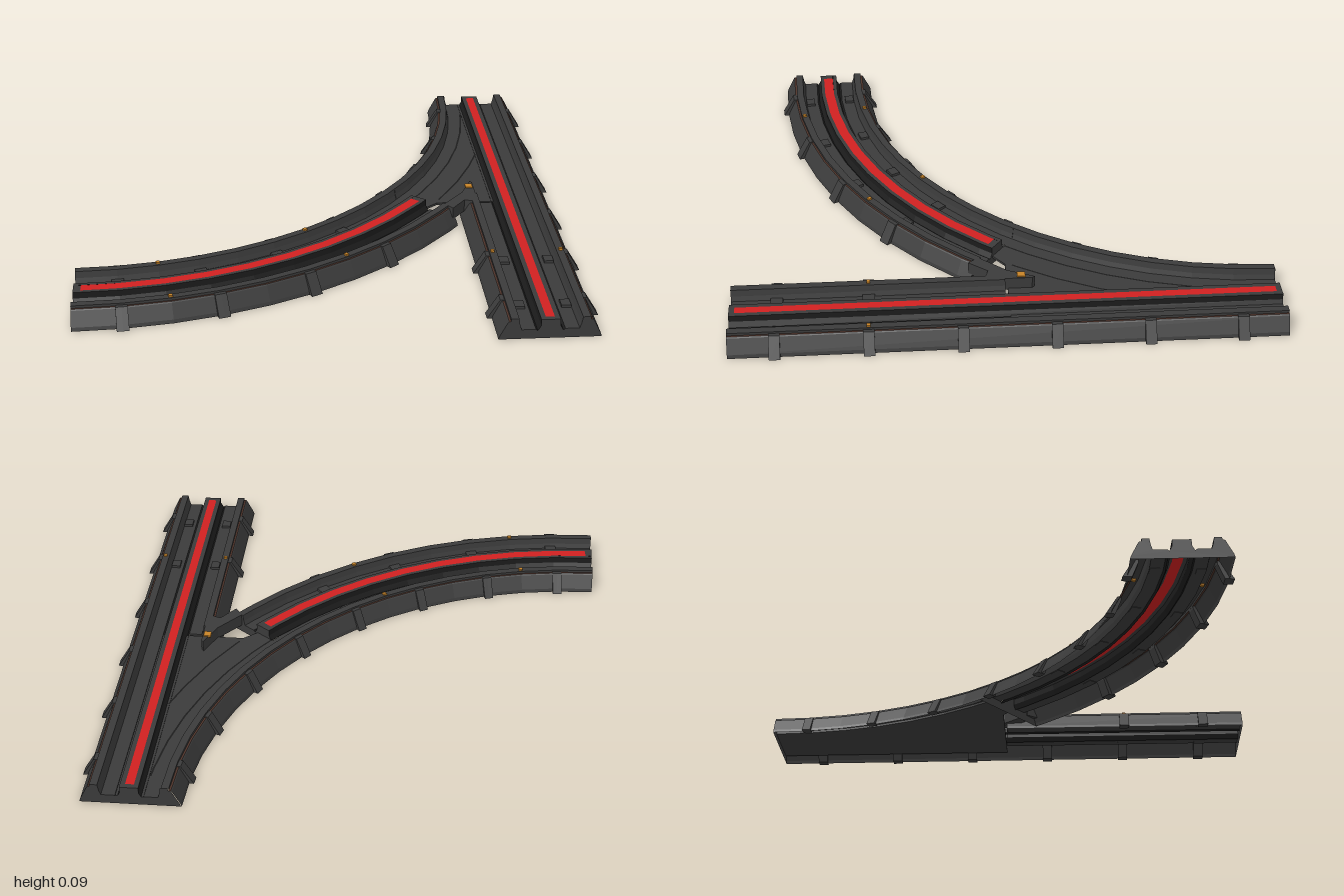
import * as THREE from 'three';

const mat = (name, color) => {
  const m = new THREE.MeshStandardMaterial({ color, side: THREE.DoubleSide, flatShading: true });
  m.name = name;
  return m;
};

// Half cross-section, split into coloured bands: [distance from centre line, height]
const BANDS = {
  slot: [[0.034, 0.074], [0.034, 0.05], [0.045, 0.03], [0.052, 0.036]],
  floor: [[0.052, 0.036], [0.102, 0.036]],
  rail: [[0.102, 0.036], [0.108, 0.055], [0.112, 0.08], [0.14, 0.08], [0.14, 0.07]],
  trim: [[0.14, 0.07], [0.147, 0.07]],
  wall: [[0.147, 0.07], [0.151, 0.066], [0.178, 0.013], [0.182, 0]],
};
const CREST = [[0.016, 0.074], [0.034, 0.074]];
const CLIP = [[0.14, 0.06], [0.14, 0.073], [0.155, 0.073], [0.2, 0], [0.165, 0], [0.14, 0.06]];
const HALF = [CREST, ...Object.values(BANDS)].flat();
const mirror = (pts) => pts.map(([u, y]) => [-u, y]).reverse();
const sided = (pts, side) => (side > 0 ? pts : mirror(pts));

// The two routes: s is z on the straight, an angle on the bend
const R = 1.667, STEP = Math.PI / 32, END = Math.PI / 2, SPLIT = 0.654;
const straight = (s, u, y) => [0.73 + u, y, s];
const bend = (s, u, y) => [-0.94 + (R + u) * Math.cos(s), y, -1 + (R + u) * Math.sin(s)];

function stations(route, a, b) {
  if (route === straight) return [a, b];
  const list = [a];
  for (let k = 1; k < 16; k++) if (k * STEP > a + 0.005 && k * STEP < b - 0.005) list.push(k * STEP);
  return [...list, b];
}

function geometry(pos) {
  const g = new THREE.BufferGeometry();
  g.setAttribute('position', new THREE.Float32BufferAttribute(pos, 3));
  g.computeVertexNormals();
  return g;
}

// Carry a profile along a route
function sweep(route, pts, a, b) {
  const st = stations(route, a, b), pos = [];
  for (let i = 0; i + 1 < st.length; i++) {
    for (let j = 0; j + 1 < pts.length; j++) {
      const A = route(st[i], ...pts[j]), B = route(st[i + 1], ...pts[j]);
      const C = route(st[i + 1], ...pts[j + 1]), D = route(st[i], ...pts[j + 1]);
      pos.push(...A, ...B, ...C, ...A, ...C, ...D);
    }
  }
  return geometry(pos);
}

// Close a profile with a flat end
function cap(route, pts, s, facing) {
  const v = pts.map(([u, y]) => new THREE.Vector2(u, y));
  const pos = [];
  for (const f of THREE.ShapeUtils.triangulateShape(v, [])) {
    const [a, b, c] = f.map((k) => v[k]);
    const ccw = (b.x - a.x) * (c.y - a.y) - (b.y - a.y) * (c.x - a.x) > 0;
    const tri = ccw === facing > 0 ? [a, b, c] : [a, c, b];
    tri.forEach((p) => pos.push(...route(s, p.x, p.y)));
  }
  return geometry(pos);
}

export function createModel() {
  const group = new THREE.Group();
  const grey = mat('charcoal', 0x3b3b3b);
  const black = mat('slotBlack', 0x1c1c1c);
  const red = mat('stripeRed', 0xd02020);
  const brown = mat('trimBrown', 0x50352b);
  const orange = mat('lampOrange', 0xc88428);
  const bandMat = { slot: black, floor: grey, rail: grey, trim: brown, wall: grey };
  const add = (name, geo, m) => {
    const mesh = new THREE.Mesh(geo, m);
    mesh.name = name;
    group.add(mesh);
    return mesh;
  };
  const bands = (prefix, route, side, names, a, b) => names.forEach((n) =>
    add(prefix + n, sweep(route, sided(BANDS[n], side), a, b), bandMat[n]));
  const ridge = (prefix, route, a, b, inset, w) => {
    const mid = [[-w, 0.074], [w, 0.074]];
    add(prefix + 'Stripe', sweep(route, mid, a + inset, b - inset), red);
    add(prefix + 'StripeStart', sweep(route, mid, a, a + inset), grey);
    add(prefix + 'StripeEnd', sweep(route, mid, b - inset, b), grey);
    for (const side of [-1, 1]) {
      add(prefix + 'Ridge', sweep(route, sided([[w, 0.074], CREST[1]], side), a, b), grey);
    }
  };
  const box = (name, route, s, u, y, size, m) => {
    const mesh = add(name, new THREE.BoxGeometry(...size), m);
    mesh.position.set(...route(s, u, y));
    if (route === bend) mesh.rotation.y = -s;
  };
  const clip = (route, side, s) => {
    const h = route === bend ? 0.02 / R : 0.02, pts = sided(CLIP, side);
    add('clip', sweep(route, pts, s - h, s + h), grey);
    add('clipEnd', cap(route, pts.slice(1), s - h, -1), grey);
    add('clipEnd', cap(route, pts.slice(1), s + h, 1), grey);
  };
  const all = Object.keys(BANDS), outer = all.slice(1);

  // Straight track
  ridge('straight', straight, -1, 1, 0.02, 0.016);
  bands('straightRight', straight, 1, all, -1, 1);
  bands('straightLeft', straight, -1, ['slot'], -1, 1);
  bands('straightLeft', straight, -1, outer, 0, 1);

  // Curved track: inner rail runs through, the rest stops at the junction
  ridge('bend', bend, SPLIT, END, 0.016, 0.019);
  bands('bendInner', bend, -1, outer, 0, END);
  bands('bendInner', bend, -1, ['slot'], SPLIT, END);
  bands('bendOuter', bend, 1, all, SPLIT, END);

  // End faces
  const full = [...mirror(HALF), ...HALF];
  add('straightFrontEnd', cap(straight, full, 1, 1), grey);
  add('straightBackEnd', cap(straight, full, -1, -1), grey);
  add('bendEnd', cap(bend, full, END, 1), grey);
  add('bendInnerEnd', cap(bend, full, SPLIT, -1), grey);
  const leftHalf = [...mirror(outer.flatMap((n) => BANDS[n])), [-0.052, 0]];
  add('straightLeftEnd', cap(straight, leftHalf, 0, -1), grey);

  // Flat junction plate and its guide lines
  const flat = (pts, y, depth) => {
    const shape = new THREE.Shape(pts.map(([x, z]) => new THREE.Vector2(x, -z)));
    const g = new THREE.ExtrudeGeometry(shape, { depth, bevelEnabled: false });
    return g.rotateX(-Math.PI / 2).translate(0, y, 0);
  };
  const xz = (s, u) => { const p = bend(s, u, 0); return [p[0], p[2]]; };
  const edge = stations(bend, 0, SPLIT).map((s) => xz(s, -0.1));
  add('junctionPlate', flat([...edge, xz(SPLIT, 0.03), [0.46, -0.01], [0.88, -0.01], [0.88, -1]], 0.026, 0.009), grey);
  add('guideLine', sweep(bend, [[-0.052, 0.037], [-0.045, 0.037]], 0.07, SPLIT), black);
  add('guideLine', sweep(bend, [[0.038, 0.037], [0.045, 0.037]], 0.32, 0.6), black);

  // Pointed nose where the two rails meet
  add('railNose', flat([[0.475, 0.09], [0.56, -0.01], [0.604, -0.11], [0.612, -0.1], [0.612, 0.02],
    [0.59, 0.07], [0.56, 0.06], [0.505, 0.13]], 0.03, 0.05), grey);
  box('noseLamp', straight, -0.06, -0.137, 0.081, [0.028, 0.008, 0.03], orange);

  // Side clips
  for (let k = 0; k < 6; k++) clip(straight, 1, -5 / 6 + k / 3);
  for (const z of [0.5, 5 / 6]) clip(straight, -1, z);
  for (let k = 0; k < 8; k++) {
    const s = (2 * k + 1) * STEP;
    clip(bend, -1, s);
    if (k > 3) clip(bend, 1, s);
  }

  // Floor blocks and rail lamps
  for (const side of [-1, 1]) {
    const blocks = (route, s) => box('floorBlock', route, s, side * 0.083, 0.04, [0.035, 0.012, 0.045], grey);
    const lamp = (route, s) => box('railLamp', route, s, side * 0.128, 0.08, [0.014, 0.014, 0.014], orange);
    for (const z of [0.5, 5 / 6]) blocks(straight, z);
    for (const k of [9, 11, 13, 15]) blocks(bend, k * STEP);
    lamp(straight, 0.5);
    for (const k of [10, 14]) lamp(bend, k * STEP);
  }
  return group;
}
